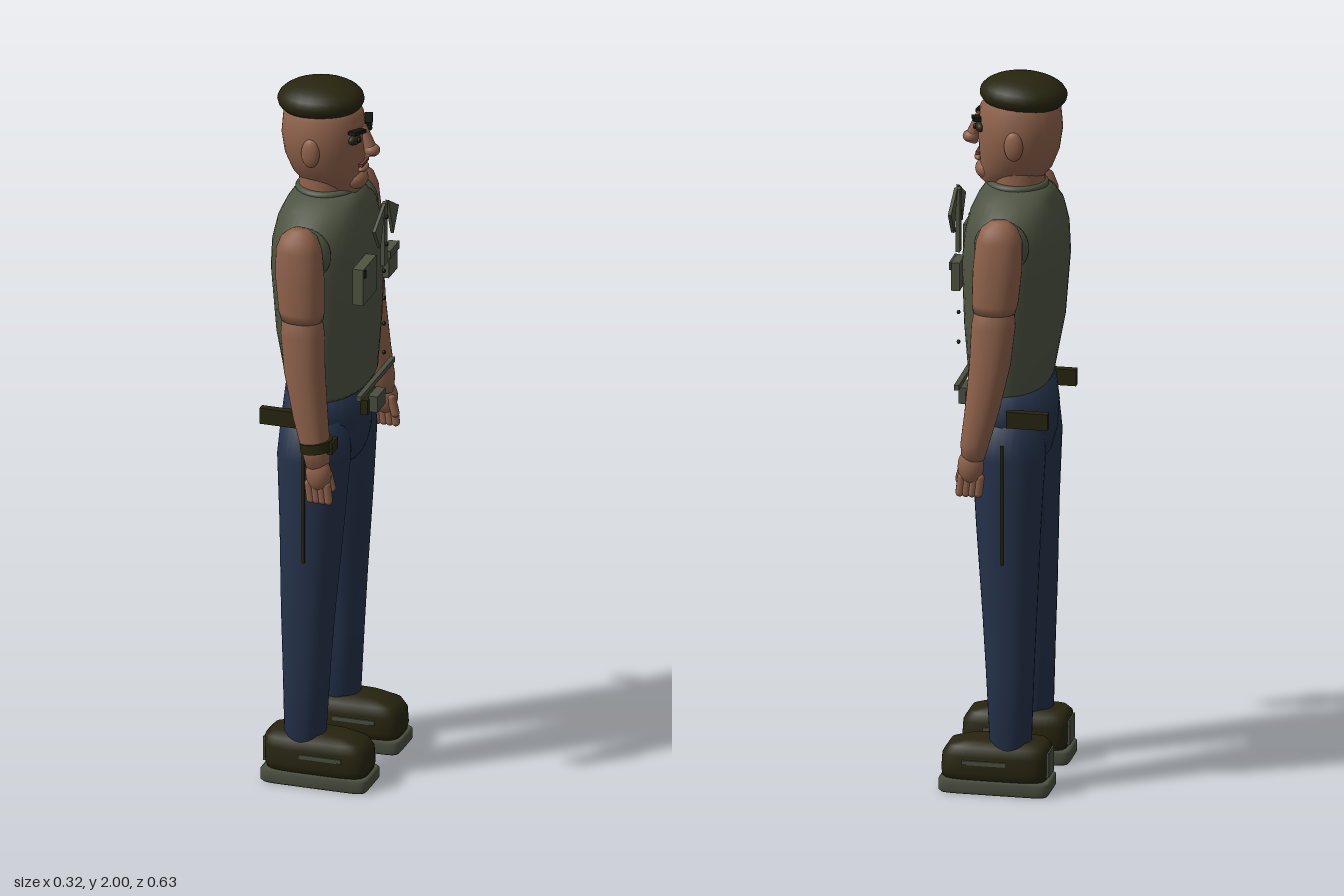
import * as THREE from 'three';

const mat = (name, color, extra = {}) => Object.assign(new THREE.MeshStandardMaterial({ color, ...extra }), { name });

export function createModel() {
  const skin = mat('skin', 0x8f624b);
  const shirt = mat('shirtGreen', 0x4e5442);
  const denim = mat('denim', 0x24324a);
  const olive = mat('darkOlive', 0x27250f);
  const trim = mat('trimGreen', 0x4a5040);
  const dark = mat('darkDetail', 0x14150f);
  const lips = mat('lips', 0x6a4034);

  const model = new THREE.Group();
  model.name = 'standingMan';

  const add = (name, geo, material, x = 0, y = 0, z = 0, parent = model) => {
    const m = new THREE.Mesh(geo, material);
    m.name = name;
    m.position.set(x, y, z);
    parent.add(m);
    return m;
  };
  const box = (name, material, w, h, d, x, y, z) => add(name, new THREE.BoxGeometry(w, h, d), material, x, y, z);
  const ball = (name, material, rx, ry, rz, x, y, z) => {
    const g = new THREE.SphereGeometry(1, 24, 16);
    g.scale(rx, ry, rz);
    return add(name, g, material, x, y, z);
  };

  // Closed skin through level sections [y, centreX, centreZ, radiusX, radiusZ], lowest first
  const loft = (rows, power = 2, side = 1, n = 32) => {
    const pos = [], idx = [];
    const bend = (v) => Math.sign(v) * Math.abs(v) ** (2 / power);
    for (const [y, cx, cz, rx, rz] of rows) {
      for (let j = 0; j < n; j++) {
        const a = (j / n) * Math.PI * 2;
        pos.push(cx + rx * bend(Math.cos(a)), y, side * cz + rz * bend(Math.sin(a)));
      }
    }
    for (let i = 0; i < rows.length - 1; i++) {
      for (let j = 0; j < n; j++) {
        const a = i * n + j, b = i * n + (j + 1) % n;
        idx.push(a, a + n, b, b, a + n, b + n);
      }
    }
    const end = rows.length * n, last = end - n, top = rows[rows.length - 1];
    pos.push(rows[0][1], rows[0][0], side * rows[0][2], top[1], top[0], side * top[2]);
    for (let j = 0; j < n; j++) {
      const k = (j + 1) % n;
      idx.push(end, j, k, end + 1, last + k, last + j);
    }
    const g = new THREE.BufferGeometry();
    g.setAttribute('position', new THREE.Float32BufferAttribute(pos, 3));
    g.setIndex(idx);
    g.computeVertexNormals();
    return g;
  };

  // Plate in the y-z plane facing forward (+x), given as [z, y] corners
  const plate = (name, material, points, x, depth) => {
    const shape = new THREE.Shape(points.map(([z, y]) => new THREE.Vector2(-z, y)));
    const g = new THREE.ExtrudeGeometry(shape, { depth, bevelEnabled: false });
    g.rotateY(Math.PI / 2);
    return add(name, g, material, x);
  };

  // Head, neck and beret
  add('head', loft([
    [1.682, 0.02, 0, 0.045, 0.028], [1.70, 0.0, 0, 0.083, 0.05], [1.74, -0.018, 0, 0.098, 0.078],
    [1.79, -0.026, 0, 0.11, 0.1], [1.85, -0.03, 0, 0.115, 0.109], [1.91, -0.03, 0, 0.11, 0.1],
    [1.95, -0.03, 0, 0.08, 0.08],
  ]), skin);
  add('neck', new THREE.CylinderGeometry(0.07, 0.075, 0.12, 28), skin, -0.025, 1.69, 0);
  ball('chin', skin, 0.035, 0.03, 0.042, 0.06, 1.725, 0);
  ball('beret', olive, 0.12, 0.054, 0.105, -0.038, 1.946, 0).rotation.z = 0.04;

  // Face
  const bridge = add('noseBridge', new THREE.CylinderGeometry(0.009, 0.02, 0.085, 12), skin, 0.096, 1.84, 0);
  bridge.rotation.z = 0.3;
  ball('noseTip', skin, 0.022, 0.018, 0.022, 0.108, 1.812, 0);
  ball('lowerLip', skin, 0.014, 0.01, 0.028, 0.083, 1.758, 0);
  box('mouth', lips, 0.012, 0.008, 0.056, 0.084, 1.773, 0);
  for (const s of [-1, 1]) {
    ball('ear', skin, 0.026, 0.041, 0.014, -0.032, 1.825, s * 0.107);
    ball('eye', olive, 0.012, 0.014, 0.022, 0.074, 1.856, s * 0.047).rotation.y = -s * 0.4;
    ball('pupil', dark, 0.007, 0.008, 0.008, 0.086, 1.856, s * 0.045);
    const brow = box('eyebrow', dark, 0.022, 0.01, 0.054, 0.082, 1.88, s * 0.048);
    brow.rotation.set(-s * 0.15, -s * 0.3, 0);
  }

  // Sleeveless shirt
  add('shirt', loft([
    [1.128, -0.005, 0, 0.105, 0.185], [1.14, -0.005, 0, 0.11, 0.19], [1.3, -0.014, 0, 0.132, 0.202],
    [1.48, -0.018, 0, 0.142, 0.214], [1.56, -0.02, 0, 0.136, 0.212], [1.62, -0.02, 0, 0.122, 0.196],
    [1.66, -0.02, 0, 0.103, 0.145], [1.69, -0.02, 0, 0.082, 0.08],
  ], 2.2, 1, 40), shirt);
  const neckband = add('neckband', new THREE.TorusGeometry(0.074, 0.011, 10, 32), shirt, -0.022, 1.69, 0);
  neckband.rotation.x = Math.PI / 2;

  // Shirt front: collar points, placket, buttons, pockets
  for (const s of [-1, 1]) {
    plate('collarPoint', shirt, [[s * 0.1, 1.615], [s * 0.012, 1.665], [s * 0.055, 1.55]], 0.142, 0.009);
  }
  box('placket', shirt, 0.012, 0.18, 0.024, 0.142, 1.57, 0);
  for (const y of [1.62, 1.54, 1.46, 1.38, 1.305, 1.22]) {
    ball('button', dark, 0.005, 0.006, 0.006, y > 1.5 ? 0.15 : 0.142, y, 0);
  }
  box('largePocket', shirt, 0.03, 0.105, 0.112, 0.128, 1.482, 0.123);
  box('largePocketHem', dark, 0.02, 0.006, 0.075, 0.122, 1.424, 0.1);
  box('pocketPen', dark, 0.006, 0.022, 0.006, 0.146, 1.52, 0.17);
  box('smallPocket', shirt, 0.024, 0.08, 0.074, 0.123, 1.452, -0.098);
  box('smallPocketFlap', trim, 0.006, 0.022, 0.078, 0.137, 1.482, -0.098);

  // Hips, belt and buckle
  add('hips', loft([
    [0.9, -0.02, 0, 0.07, 0.07], [0.93, -0.02, 0, 0.092, 0.12], [0.98, -0.02, 0, 0.104, 0.17],
    [1.05, -0.018, 0, 0.11, 0.192], [1.135, -0.012, 0, 0.105, 0.188],
  ], 2.3), denim);
  ball('trouserFront', denim, 0.05, 0.105, 0.112, 0.045, 1.0, 0);
  box('hemBar', trim, 0.014, 0.014, 0.29, 0.118, 1.138, 0);
  box('buckle', trim, 0.026, 0.046, 0.07, 0.122, 1.078, 0);
  box('frontBelt', olive, 0.02, 0.042, 0.1, 0.102, 1.072, 0);

  for (const s of [-1, 1]) {
    box('sideBelt', olive, 0.115, 0.046, 0.022, -0.088, 1.075, s * 0.19);
    box('trouserSeam', olive, 0.008, 0.34, 0.008, -0.02, 0.83, s * 0.203);

    // Trouser leg
    add('leg', loft([
      [0.12, -0.033, 0.147, 0.056, 0.052], [0.35, -0.03, 0.142, 0.066, 0.06],
      [0.5, -0.028, 0.136, 0.074, 0.067], [0.75, -0.022, 0.122, 0.088, 0.08],
      [0.95, -0.02, 0.11, 0.1, 0.092], [1.06, -0.02, 0.105, 0.09, 0.085],
    ], 2.2, s), denim);

    // Shoe on a flat sole
    add('sole', loft([
      [0, 0.006, 0.14, 0.147, 0.067], [0.007, 0.006, 0.14, 0.153, 0.072],
      [0.034, 0.006, 0.14, 0.153, 0.072], [0.04, 0.006, 0.14, 0.147, 0.067],
    ], 9, s, 48), trim);
    add('shoe', loft([
      [0.036, 0.008, 0.14, 0.142, 0.065], [0.06, 0.008, 0.14, 0.147, 0.07],
      [0.105, 0.006, 0.14, 0.146, 0.068], [0.13, -0.002, 0.14, 0.138, 0.058],
      [0.146, -0.02, 0.14, 0.105, 0.042],
    ], 4.5, s, 40), olive);
    box('heelCounter', trim, 0.02, 0.07, 0.07, -0.134, 0.085, s * 0.14);
    for (const t of [-1, 1]) box('shoeStripe', trim, 0.12, 0.012, 0.006, 0.03, 0.09, s * 0.14 + t * 0.069);

    // Bare arm and shirt armhole
    ball('armhole', shirt, 0.076, 0.075, 0.04, -0.018, 1.57, s * 0.2);
    add('upperArm', loft([
      [1.4, -0.008, 0.247, 0.058, 0.049], [1.425, -0.01, 0.246, 0.063, 0.052],
      [1.52, -0.016, 0.243, 0.067, 0.053], [1.6, -0.02, 0.24, 0.063, 0.049],
      [1.635, -0.02, 0.238, 0.05, 0.04], [1.655, -0.02, 0.236, 0.025, 0.022],
    ], 2.2, s), skin);
    add('forearm', loft([
      [0.985, 0.045, 0.274, 0.032, 0.03], [1.03, 0.04, 0.272, 0.039, 0.037],
      [1.12, 0.022, 0.265, 0.047, 0.045], [1.25, 0.002, 0.256, 0.056, 0.05],
      [1.36, -0.006, 0.249, 0.06, 0.05], [1.44, -0.01, 0.246, 0.05, 0.045],
    ], 2.2, s), skin);

    // Hand with curled fingers
    ball('palm', skin, 0.036, 0.05, 0.026, 0.05, 0.965, s * 0.281);
    for (let i = 0; i < 4; i++) {
      const f = add('finger', new THREE.CapsuleGeometry(0.012, 0.045, 4, 10), skin, 0.026 + i * 0.017, 0.912, s * 0.284);
      f.rotation.z = 0.12;
    }
    const thumb = add('thumb', new THREE.CapsuleGeometry(0.012, 0.045, 4, 10), skin, 0.078, 0.945, s * 0.268);
    thumb.rotation.z = 0.25;
  }

  // Wristwatch on one arm
  const strap = add('watchStrap', new THREE.CylinderGeometry(0.046, 0.046, 0.028, 24), olive, 0.041, 1.045, 0.27);
  strap.rotation.z = 0.15;
  box('watchFace', olive, 0.014, 0.034, 0.05, 0.084, 1.045, 0.262);

  return model;
}
